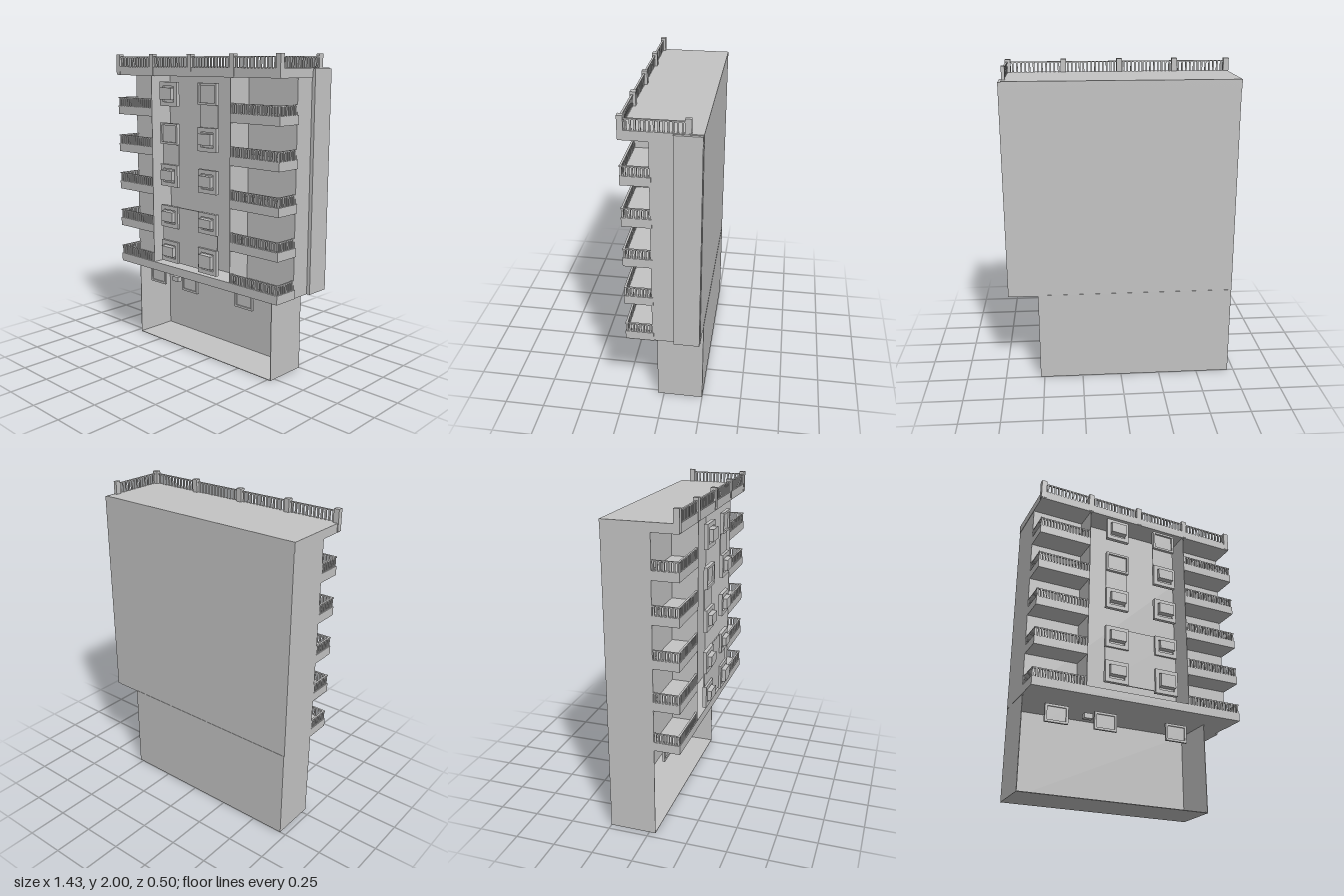
import * as THREE from 'three';

export function createModel() {
  const model = new THREE.Group();
  model.name = 'apartmentBlock';
  const concrete = new THREE.MeshStandardMaterial({ color: 0xc4c4c4 });
  concrete.name = 'concreteGrey';

  // box given by its limits on each axis
  function box(name, x0, x1, y0, y1, z0, z1, parent = model) {
    const mesh = new THREE.Mesh(new THREE.BoxGeometry(x1 - x0, y1 - y0, z1 - z0), concrete);
    mesh.position.set((x0 + x1) / 2, (y0 + y1) / 2, (z0 + z1) / 2);
    mesh.name = name;
    parent.add(mesh);
    return mesh;
  }
  function group(name) {
    const g = new THREE.Group();
    g.name = name;
    model.add(g);
    return g;
  }

  // row of bars with a thin handrail, along x or z
  function railing(parent, alongX, from, to, at, y0, y1, pitch) {
    const n = Math.max(2, Math.round((to - from) / pitch));
    const w = 0.005, d = 0.005;
    for (let i = 0; i < n; i++) {
      const c = from + (to - from) * (i + 0.5) / n;
      if (alongX) box('railBar', c - w, c + w, y0, y1, at - d, at + d, parent);
      else box('railBar', at - d, at + d, y0, y1, c - w, c + w, parent);
    }
    if (alongX) box('handrail', from, to, y1 - 0.007, y1, at - 0.006, at + 0.006, parent);
    else box('handrail', at - 0.006, at + 0.006, y1 - 0.007, y1, from, to, parent);
  }

  // ground floor: shell open at the front
  const t = 0.004;
  const ground = group('groundFloor');
  box('groundBackWall', -0.71, 0.525, 0, 0.58, -0.25, -0.25 + t, ground);
  box('groundFloorPlate', -0.71, 0.525, 0, t, -0.25, 0.04, ground);
  box('groundLeftWall', 0.525 - t, 0.525, 0, 0.58, -0.25, 0.04, ground);
  box('groundRightWall', -0.71, -0.71 + t, 0, 0.58, -0.25, 0.04, ground);

  // upper storeys
  box('mainBody', -0.712, 0.69, 0.575, 1.915, -0.248, 0.04);
  box('sidePier', 0.68, 0.712, 0.575, 1.915, -0.245, -0.09);
  box('baseSlab', -0.712, 0.695, 0.575, 0.63, 0.03, 0.2);
  box('roofSlab', -0.715, 0.695, 1.865, 1.92, -0.248, 0.2);
  box('bayRightWall', -0.374, -0.37, 0.63, 1.865, 0.04, 0.2);
  box('bayLeftWall', 0.32, 0.324, 0.63, 1.865, 0.04, 0.2);

  // balconies on both sides of the middle bay
  [0.575, 0.832, 1.092, 1.352, 1.605].forEach((y, i) => {
    for (const side of [-1, 1]) {
      const b = group(side < 0 ? 'rightBalcony' : 'leftBalcony');
      const [x0, x1] = side < 0 ? [-0.712, -0.372] : [0.322, 0.695];
      if (i > 0) box('balconySlab', x0, x1, y, y + 0.055, 0.03, 0.2, b);
      railing(b, true, x0, x1, 0.192, y + 0.055, y + 0.113, 0.0205);
      railing(b, false, 0.04, 0.2, side < 0 ? x0 + 0.008 : x1 - 0.008, y + 0.055, y + 0.113, 0.0205);
    }
  });

  // roof parapet posts and railings
  const roof = group('roofRailing');
  const posts = [-0.703, -0.37, -0.02, 0.332, 0.678];
  posts.forEach((x, i) => {
    box('roofPost', x - 0.017, x + 0.017, 1.87, 2, 0.17, 0.203, roof);
    if (i) railing(roof, true, posts[i - 1] + 0.017, x - 0.017, 0.19, 1.915, 1.985, 0.025);
  });
  box('rearRoofPost', 0.672, 0.693, 1.91, 2, -0.185, -0.15, roof);
  railing(roof, false, -0.15, 0.17, 0.685, 1.915, 1.985, 0.025);

  // window: raised frame around a pane, with an optional projecting box
  function windowUnit(x0, x1, y0, y1, z, depth, boxed) {
    const w = group('window');
    const f = boxed ? 0.026 : 0.014;
    box('pane', x0, x1, y0, y1, z, z + depth * 0.5, w);
    box('frameSide', x0, x0 + f, y0, y1, z, z + depth, w);
    box('frameSide', x1 - f, x1, y0, y1, z, z + depth, w);
    box('frameTop', x0 + f, x1 - f, y1 - f, y1, z, z + depth, w);
    box('frameSill', x0 + f, x1 - f, y0, y0 + f, z, z + depth, w);
    if (boxed) box('windowBox', x0 + f, x1 - f, y0 + 0.042, y1 - 0.035, z, z + depth + 0.025, w);
  }
  [[1.68, 1.83, true], [1.44, 1.573, false], [1.17, 1.31, true], [0.9, 1.042, true], [0.67, 0.81, true]]
    .forEach(([a, b, boxed]) => windowUnit(-0.265, -0.11, a, b, 0.2, 0.024, boxed));
  [[1.7, 1.83, false], [1.42, 1.565, true], [1.165, 1.31, true], [0.91, 1.042, true], [0.655, 0.815, true]]
    .forEach(([a, b, boxed]) => windowUnit(0.075, 0.23, a, b, 0.2, 0.024, boxed));

  // thin panels joining the windows
  box('rightWindowPanel', -0.263, -0.112, 1.18, 1.56, 0.2, 0.206);
  box('leftWindowPanel', 0.077, 0.228, 1.43, 1.82, 0.2, 0.206);
  box('middlePanel', -0.262, 0.228, 0.67, 1.04, 0.202, 0.21);

  // ground floor windows and vent
  for (const x of [-0.572, -0.255, 0.233]) windowUnit(x, x + 0.148, 0.425, 0.537, 0.04, 0.016, false);
  box('vent', -0.33, -0.275, 0.478, 0.51, 0.04, 0.074);

  return model;
}
